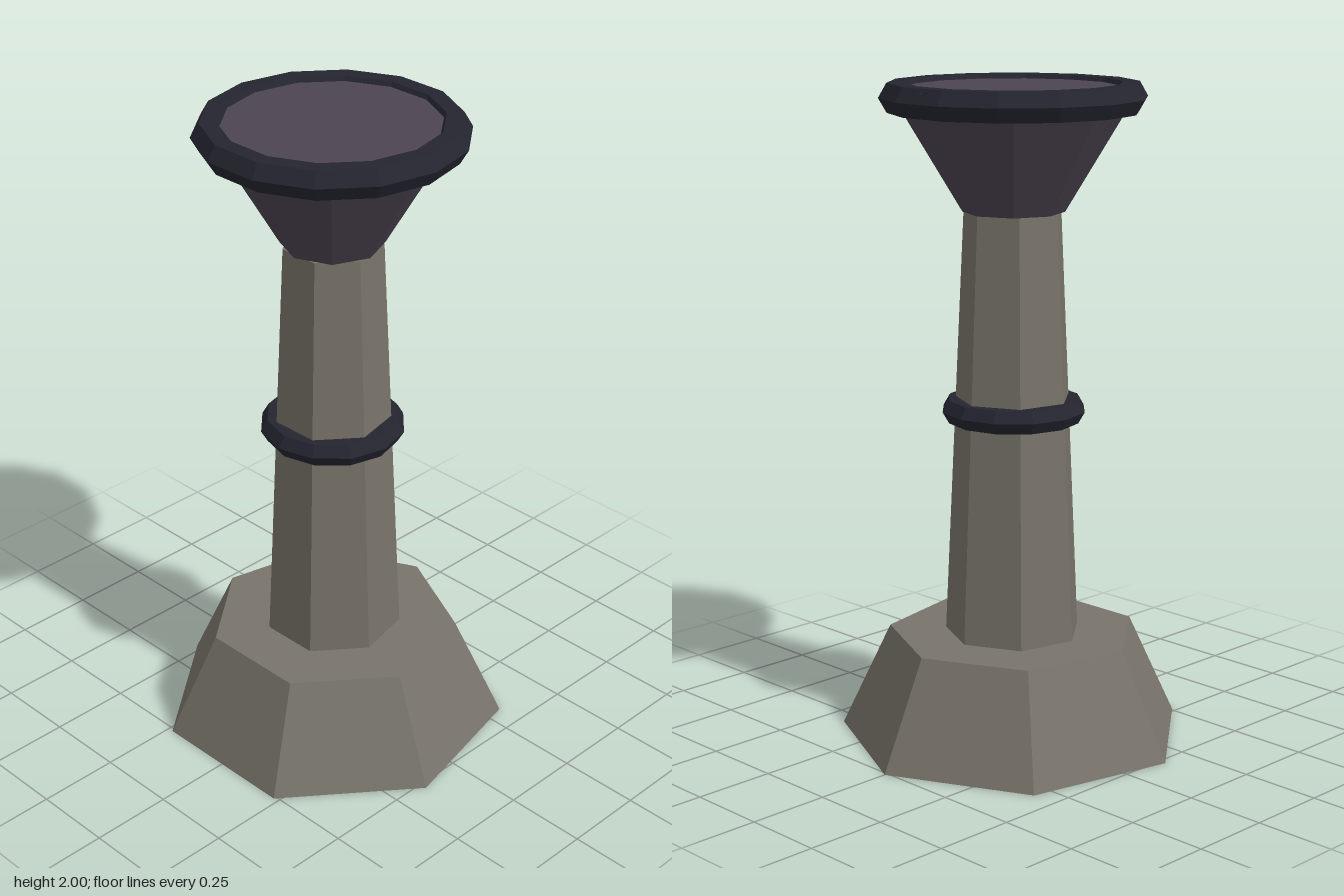
import * as THREE from 'three';

export function createModel() {
  const model = new THREE.Group();
  model.name = 'pedestalBrazier';

  const material = (name, color) => {
    const m = new THREE.MeshStandardMaterial({ color, flatShading: true });
    m.name = name;
    return m;
  };
  const stone = material('stone', 0x78746a);
  const bowlMetal = material('bowlMetal', 0x4c4450);
  const darkIron = material('darkIron', 0x252531);

  // The round parts share one axis, offset so the seven-sided foot is centred
  const axisZ = 0.026;
  const add = (name, geometry, mat, y) => {
    const mesh = new THREE.Mesh(geometry, mat);
    mesh.name = name;
    mesh.position.set(0, y, axisZ);
    model.add(mesh);
  };

  // Tapered faceted solid between two heights
  const frustum = (name, rTop, rBottom, y0, y1, sides, turn, mat) => {
    const g = new THREE.CylinderGeometry(rTop, rBottom, y1 - y0, sides);
    g.rotateY(turn);
    add(name, g, mat, (y0 + y1) / 2);
  };

  // Hoop with a six-sided section
  const hoop = (name, radius, tube, sides, y) => {
    const g = new THREE.TorusGeometry(radius, tube, 6, sides);
    g.rotateX(Math.PI / 2);
    add(name, g, darkIron, y);
  };

  // Foot and column, one corner pointing to the back
  frustum('foot', 0.385, 0.537, 0, 0.325, 7, Math.PI, stone);
  frustum('column', 0.15, 0.21, 0.325, 1.62, 7, Math.PI, stone);

  // Flared eight-sided bowl with a flat top
  frustum('bowl', 0.372, 0.152, 1.62, 1.987, 8, 0, bowlMetal);

  // Iron hoops around the column and the rim
  hoop('columnHoop', 0.18, 0.04, 12, 1.024);
  hoop('rimHoop', 0.347, 0.05, 14, 1.957);

  return model;
}
